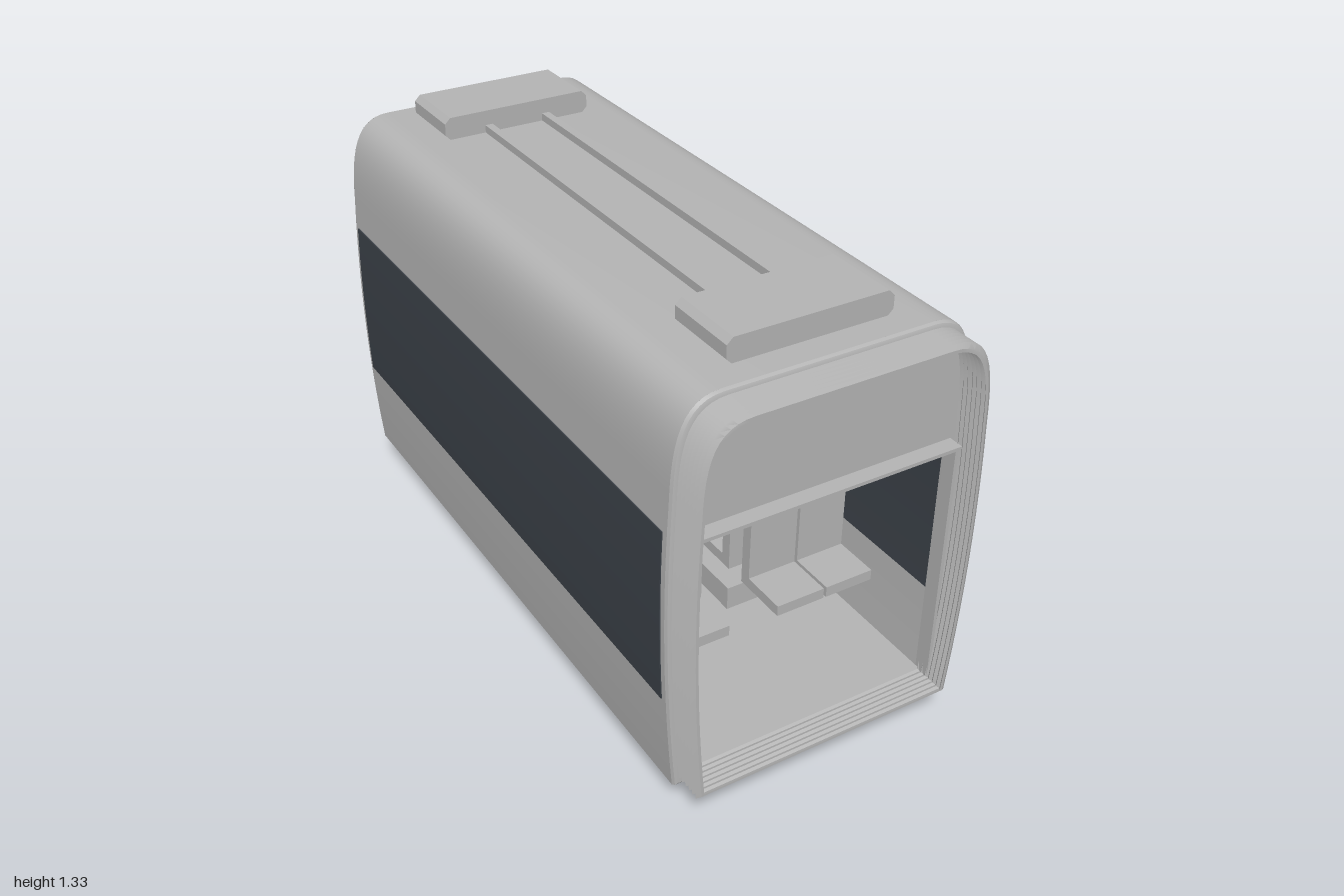
import * as THREE from 'three';
import { toCreasedNormals } from 'three/addons/utils/BufferGeometryUtils.js';

const grey = new THREE.MeshStandardMaterial({ color: 0xb4b4b4, side: THREE.DoubleSide });
grey.name = 'light grey';
const dark = new THREE.MeshStandardMaterial({ color: 0x3c4249, side: THREE.DoubleSide });
dark.name = 'dark glass';

// Carriage cross-section, inset by i, with its floor line at y = b
function section(i, b, Type = THREE.Shape) {
  const s = new Type();
  s.moveTo(0, b);
  s.lineTo(0.41 - i, b);
  s.quadraticCurveTo(0.455 - i, (b + 1) / 2, 0.432 - i, 1);
  s.bezierCurveTo(0.428 - i, 1.16, 0.405 - i, 1.262 - i, 0.3 - i, 1.262 - i);
  s.lineTo(-0.3 + i, 1.262 - i);
  s.bezierCurveTo(-0.405 + i, 1.262 - i, -0.428 + i, 1.16, -0.432 + i, 1);
  s.quadraticCurveTo(-0.455 + i, (b + 1) / 2, -0.41 + i, b);
  s.lineTo(0, b);
  return s;
}

// Half width of that section at height y
function sideX(y, i, b) {
  const t = (y - b) / (1 - b);
  return (1 - t) * (1 - t) * 0.41 + 2 * t * (1 - t) * 0.455 + t * t * 0.432 - i;
}

function extrude(shape, z0, z1) {
  const g = new THREE.ExtrudeGeometry(shape, { depth: z1 - z0, bevelEnabled: false, curveSegments: 14 });
  g.translate(0, 0, z0);
  return toCreasedNormals(g, 0.6);
}

// Surface through cross-sections given as [inset, floor, z]
function loft(rings) {
  const pos = [], idx = [];
  let n = 0;
  rings.forEach(([i, b, z]) => {
    const pts = section(i, b).getPoints(12);
    n = pts.length;
    pts.forEach(p => pos.push(p.x, p.y, z));
  });
  for (let r = 0; r < rings.length - 1; r++) {
    for (let k = 0; k < n - 1; k++) {
      const a = r * n + k, c = a + n;
      idx.push(a, a + 1, c, a + 1, c + 1, c);
    }
  }
  const g = new THREE.BufferGeometry();
  g.setAttribute('position', new THREE.Float32BufferAttribute(pos, 3));
  g.setIndex(idx);
  return toCreasedNormals(g, 0.5);
}

// End wall with a doorway whose upper corners have radius r
function endWall(r) {
  const s = section(0.015, 0.125), h = new THREE.Path();
  const w = 0.388, top = 0.905;
  h.moveTo(-w, 0.145);
  h.lineTo(w, 0.145);
  h.lineTo(w, top - r);
  h.quadraticCurveTo(w, top, w - r, top);
  h.lineTo(-w + r, top);
  h.quadraticCurveTo(-w, top, -w, top - r);
  h.lineTo(-w, 0.145);
  s.holes.push(h);
  return s;
}

export function createModel() {
  const model = new THREE.Group();
  model.name = 'tramSection';
  const add = (name, geo, mat = grey, x = 0, y = 0, z = 0) => {
    const m = new THREE.Mesh(geo, mat);
    m.name = name;
    m.position.set(x, y, z);
    model.add(m);
    return m;
  };
  const box = (name, x0, x1, y0, y1, z0, z1, mat = grey) =>
    add(name, new THREE.BoxGeometry(x1 - x0, y1 - y0, z1 - z0), mat, (x0 + x1) / 2, (y0 + y1) / 2, (z0 + z1) / 2);
  const cylX = (name, r, len, x, y, z, n = 32) =>
    add(name, new THREE.CylinderGeometry(r, r, len, n).rotateZ(Math.PI / 2), grey, x, y, z);

  // Hollow shell with softened end rims
  const shell = section(0, 0.11);
  shell.holes.push(section(0.022, 0.145, THREE.Path));
  add('bodyShell', extrude(shell, -0.988, 0.898));
  for (const [z, e] of [[0.898, 0.91], [-0.988, -1]]) {
    add('bodyRim', loft([[0, 0.11, z], [0.004, 0.114, z + (e - z) * 0.7], [0.012, 0.12, e], [0.022, 0.145, e], [0.022, 0.145, z]]));
  }
  add('rearWall', extrude(endWall(0.085), -0.997, -0.975));
  add('frontWall', extrude(endWall(0.005), 0.885, 0.905));

  // Folded gangway bellows, outer skin then inner skin
  const outer = [], inner = [];
  for (let k = 0; k <= 12; k++) {
    const z = 0.904 + k * 0.008, f = k % 2 ? 0 : 0.012;
    outer.push([0.012 + f, 0.138 + f * 0.5, z]);
    inner.unshift([0.026 + f * 0.5, 0.146 + f * 0.3, z]);
  }
  add('bellows', loft([...outer, ...inner]));

  // Doorway frame at the bellows end
  box('doorLintel', -0.39, 0.39, 0.897, 0.907, 0.9, 0.95);

  // Roof equipment
  for (const [z0, z1] of [[0.6, 0.82], [-0.91, -0.69]]) {
    const s = new THREE.Shape([[-0.22, 1.26], [0.22, 1.26], [0.237, 1.277], [0.237, 1.313], [0.22, 1.33],
      [-0.22, 1.33], [-0.237, 1.313], [-0.237, 1.277]].map(p => new THREE.Vector2(...p)));
    add('roofUnit', extrude(s, z0, z1));
  }

  for (const s of [1, -1]) {
    box('roofRail', s * 0.095 - 0.012, s * 0.095 + 0.012, 1.255, 1.285, -0.69, 0.6);
    box('doorPost', s * 0.386 - 0.005, s * 0.386 + 0.005, 0.145, 0.897, 0.9, 0.94);

    // Window bands on the outside and inside of the wall
    for (const [name, i, b] of [['sideWindow', 0, 0.11], ['sideWindowInside', 0.022, 0.145]]) {
      const out = [], back = [];
      for (let k = 0; k <= 10; k++) {
        const y = 0.4 + k * 0.051, x = sideX(y, i, b);
        out.push(new THREE.Vector2(s * (x + 0.003), y));
        back.unshift(new THREE.Vector2(s * (x - 0.003), y));
      }
      add(name, extrude(new THREE.Shape([...out, ...back]), -0.968, 0.88), dark);
    }

    // Hand rail
    add('handRail', new THREE.CylinderGeometry(0.006, 0.006, 1.1, 10).rotateX(Math.PI / 2), grey, s * 0.155, 0.75, -0.04);

    // Seats in back-to-back pairs
    for (const zc of [0.44, -0.52]) {
      for (const d of [1, -1]) {
        for (const x of [0.157, 0.322]) {
          const zb = zc + d * 0.05, zs = zc + d * 0.13;
          box('seatBack', s * x - 0.078, s * x + 0.078, 0.28, 0.62, zb - 0.018, zb + 0.018);
          box('seatCushion', s * x - 0.078, s * x + 0.078, 0.28, 0.313, zs - 0.08, zs + 0.08);
        }
      }
    }
  }

  // Hanging display
  box('displayCase', -0.113, 0.113, 0.797, 0.874, -0.02, 0.02);
  for (const s of [1, -1]) box('displayScreen', -0.104, 0.104, 0.805, 0.867, s * 0.021 - 0.003, s * 0.021 + 0.003, dark);
  add('displayRod', new THREE.CylinderGeometry(0.006, 0.006, 0.37, 10), grey, 0, 1.055, 0);

  // Running gear
  for (const z of [0.29, -0.37]) {
    cylX('axle', 0.02, 0.56, 0, 0.12, z, 16);
    for (const s of [1, -1]) {
      cylX('wheel', 0.104, 0.045, s * 0.28, 0.12, z);
      cylX('wheelFlange', 0.115, 0.014, s * 0.262, 0.12, z);
      cylX('brakeDisc', 0.075, 0.016, s * 0.178, 0.12, z);
      add('suspension', new THREE.CylinderGeometry(0.037, 0.037, 0.185, 20), grey, s * 0.307, 0.178, z);
      box('wheelCover', s > 0 ? 0.07 : -0.39, s > 0 ? 0.39 : -0.07, 0.14, 0.22, z - 0.13, z + 0.13);
    }
  }
  for (const z of [0.125, -0.21]) cylX('motor', 0.06, 0.265, -0.022, 0.127, z, 20);

  return model;
}
